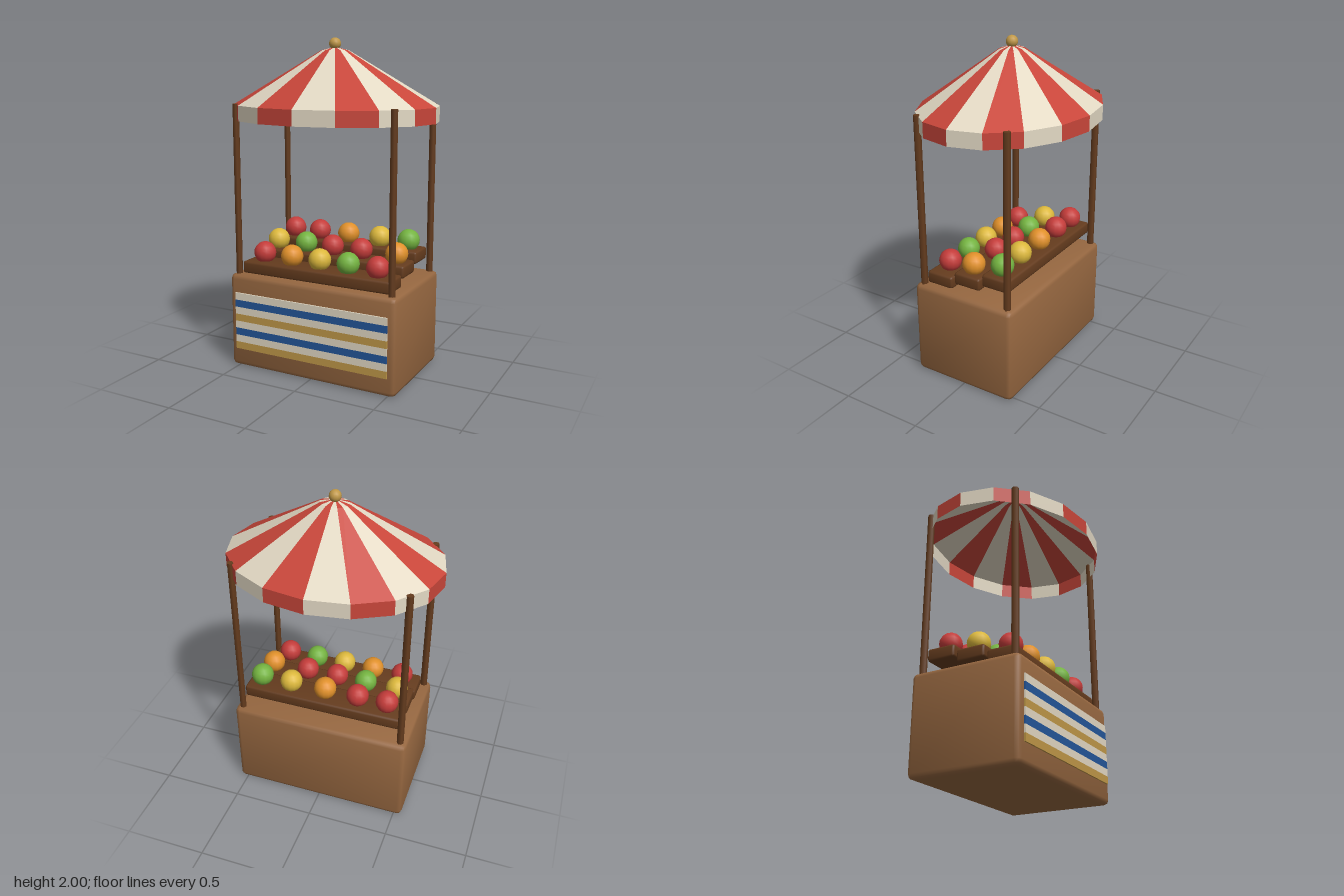
import * as THREE from 'three';
import { RoundedBoxGeometry } from 'three/addons/geometries/RoundedBoxGeometry.js';

const material = (name, color, side = THREE.FrontSide) => {
  const m = new THREE.MeshStandardMaterial({ color, side });
  m.name = name;
  return m;
};

// Box with small bevels and normals leaning softly towards its corners
function softBox(w, h, d, radius, lean) {
  const geo = new RoundedBoxGeometry(w, h, d, 1, radius);
  const p = geo.attributes.position, n = geo.attributes.normal;
  const v = new THREE.Vector3();
  for (let i = 0; i < p.count; i++) {
    v.set(Math.sign(p.getX(i)), Math.sign(p.getY(i)), Math.sign(p.getZ(i))).multiplyScalar(lean);
    v.x += n.getX(i);
    v.y += n.getY(i);
    v.z += n.getZ(i);
    v.normalize();
    n.setXYZ(i, v.x, v.y, v.z);
  }
  return geo;
}

// Oval canopy with hanging valance; wedges alternate between two material groups
function canopyGeometry(sides, rx, rz) {
  const rings = [[0, 1.947], [0.135, 1.926], [1, 1.612], [1, 1.522]]; // [scale, y]
  const at = (i, [s, y]) => {
    const a = (i / sides) * Math.PI * 2;
    return [Math.cos(a) * rx * s, y, Math.sin(a) * rz * s];
  };
  const pos = [];
  const geo = new THREE.BufferGeometry();
  for (let i = 0; i < sides; i++) {
    const start = pos.length / 3;
    for (let r = 0; r < rings.length - 1; r++) {
      const a = at(i, rings[r]), b = at(i + 1, rings[r]);
      const c = at(i + 1, rings[r + 1]), d = at(i, rings[r + 1]);
      if (r > 0) pos.push(...a, ...b, ...c);
      pos.push(...a, ...c, ...d);
    }
    geo.addGroup(start, pos.length / 3 - start, i % 2);
  }
  geo.setAttribute('position', new THREE.Float32BufferAttribute(pos, 3));
  geo.computeVertexNormals();
  return geo;
}

export function createModel() {
  const model = new THREE.Group();
  model.name = 'marketStall';

  const red = material('red', 0xc8463a, THREE.DoubleSide);
  const cream = material('cream', 0xe3d9c4, THREE.DoubleSide);
  const wood = material('wood', 0x966740);
  const darkWood = material('dark wood', 0x653c1e);
  const gold = material('gold', 0xc09848);
  const blue = material('blue', 0x24569a);
  const fruit = {
    r: material('fruit red', 0xc43c3a),
    o: material('fruit orange', 0xe0902a),
    y: material('fruit yellow', 0xdcb83c),
    g: material('fruit green', 0x74b340),
  };

  const add = (name, geo, mat, x = 0, y = 0, z = 0, parent = model) => {
    const mesh = new THREE.Mesh(geo, mat);
    mesh.name = name;
    mesh.position.set(x, y, z);
    parent.add(mesh);
    return mesh;
  };

  // Counter
  add('counter', softBox(1.1, 0.585, 0.67, 0.03, 0.2), wood, 0, 0.2975, 0);

  // Striped cloth on the counter front
  const cloth = new THREE.Group();
  cloth.name = 'stripedCloth';
  model.add(cloth);
  const stripe = 0.0446;
  const stripeGeo = new THREE.BoxGeometry(1.01, stripe, 0.009);
  [cream, blue, cream, gold, cream, blue, cream, gold].forEach((mat, i) =>
    add('clothStripe', stripeGeo, mat, 0, 0.479 - stripe * (i + 0.5), 0.342, cloth));

  // Corner posts
  const postGeo = new THREE.CylinderGeometry(0.021, 0.021, 1.04, 6).rotateY(Math.PI / 6);
  for (const x of [-0.507, 0.507])
    for (const z of [-0.29, 0.29]) add('post', postGeo, darkWood, x, 1.098, z);

  // Stepped trays, each with a row of fruit
  const trayGeo = softBox(0.98, 0.075, 0.176, 0.014, 0.15);
  const fruitGeo = new THREE.SphereGeometry(0.068, 14, 10);
  const rows = [
    { z: 0.193, y: 0.626, fruits: 'roygr', xs: [-0.382, -0.19, 0, 0.188, 0.377] },
    { z: 0, y: 0.668, fruits: 'ygrro', xs: [-0.4, -0.2, -0.015, 0.18, 0.41] },
    { z: -0.193, y: 0.708, fruits: 'rroyg', xs: [-0.39, -0.208, -0.003, 0.215, 0.405] },
  ];
  for (const { z, y, fruits, xs } of rows) {
    add('tray', trayGeo, darkWood, 0, y, z);
    xs.forEach((x, i) => add('fruit', fruitGeo, fruit[fruits[i]], x, y + 0.086, z));
  }

  // Canopy and finial
  add('canopy', canopyGeometry(16, 0.632, 0.5), [red, cream]);
  add('finial', new THREE.SphereGeometry(0.035, 14, 10), gold, 0, 1.965, 0);

  return model;
}
